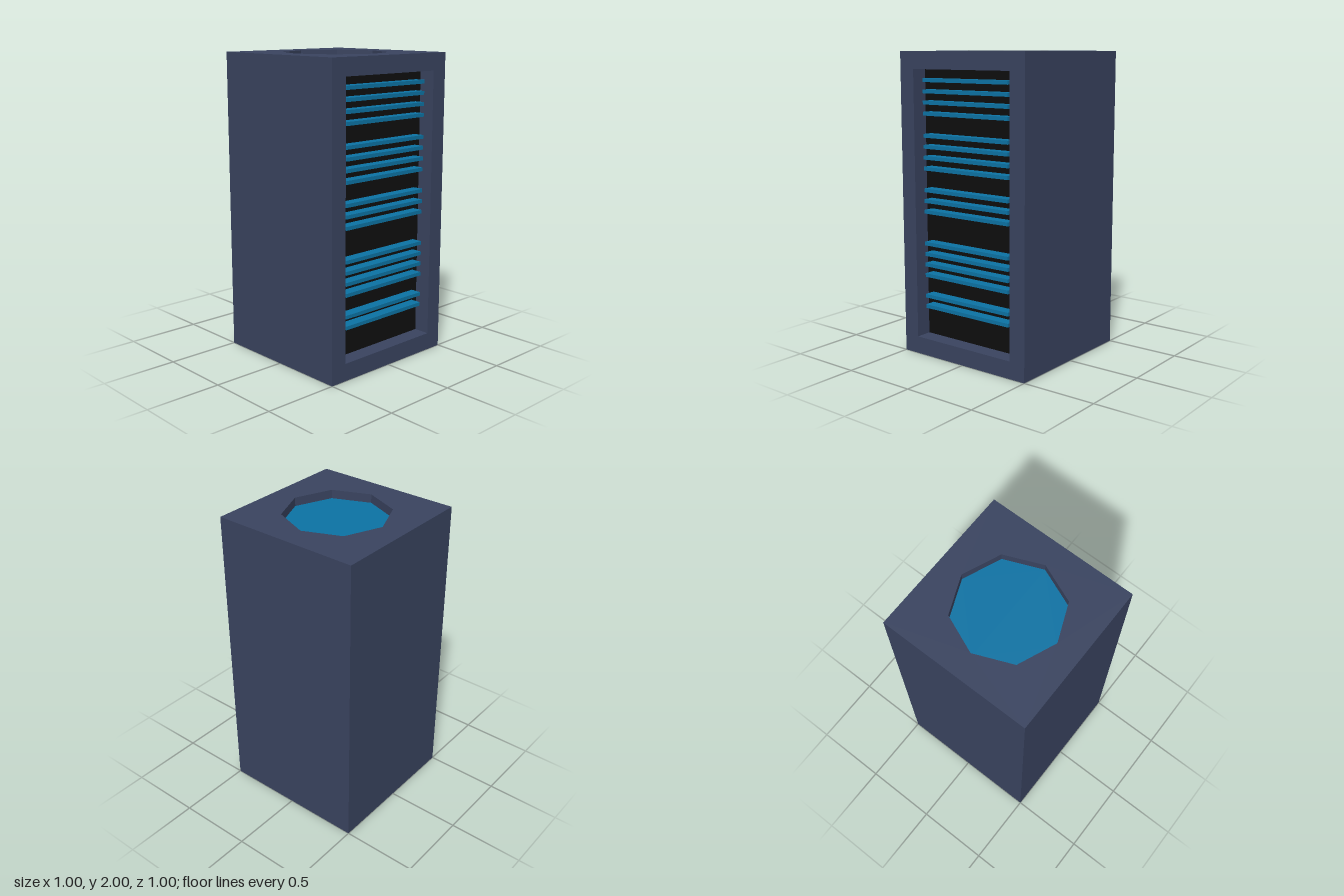
import * as THREE from 'three';

const bodyMat = new THREE.MeshStandardMaterial({ color: 0x39435f });
bodyMat.name = 'slate blue casing';
const panelMat = new THREE.MeshStandardMaterial({ color: 0x0e0e0e });
panelMat.name = 'black panel';
const blueMat = new THREE.MeshStandardMaterial({ color: 0x0c72a3 });
blueMat.name = 'bright blue';

const W = 1, H = 2;

function addMesh(parent, name, geometry, material) {
  const mesh = new THREE.Mesh(geometry, material);
  mesh.name = name;
  parent.add(mesh);
  return mesh;
}

function rectPoints(x, y0, y1) {
  return [[-x, y0], [x, y0], [x, y1], [-x, y1]].map(([a, b]) => new THREE.Vector2(a, b));
}

// Inward-facing walls below a counter-clockwise outline
function recessWalls(points, depth) {
  const pos = [];
  points.forEach((a, i) => {
    const b = points[(i + 1) % points.length];
    pos.push(a.x, a.y, 0, b.x, b.y, 0, b.x, b.y, -depth);
    pos.push(a.x, a.y, 0, b.x, b.y, -depth, a.x, a.y, -depth);
  });
  const geo = new THREE.BufferGeometry();
  geo.setAttribute('position', new THREE.Float32BufferAttribute(pos, 3));
  geo.computeVertexNormals();
  return geo;
}

// Flat face in the XY plane with a sunken, coloured floor
function recessedFace(name, outline, hole, depth, floorMat) {
  const group = new THREE.Group();
  group.name = name;
  const shape = new THREE.Shape(outline);
  shape.holes.push(new THREE.Path(hole));
  addMesh(group, name + 'Rim', new THREE.ShapeGeometry(shape), bodyMat);
  addMesh(group, name + 'Walls', recessWalls(hole, depth), bodyMat);
  const floor = addMesh(group, name + 'Floor', new THREE.ShapeGeometry(new THREE.Shape(hole)), floorMat);
  floor.position.z = -depth;
  return group;
}

export function createModel() {
  const model = new THREE.Group();
  model.name = 'serverCabinet';

  // Plain casing sides and back
  for (const [name, angle] of [['leftSide', 1], ['back', 2], ['rightSide', 3]]) {
    const geo = new THREE.PlaneGeometry(W, H).translate(0, H / 2, W / 2).rotateY(angle * Math.PI / 2);
    addMesh(model, name, geo, bodyMat);
  }
  addMesh(model, 'base', new THREE.PlaneGeometry(W, W).rotateX(Math.PI / 2), bodyMat);

  // Front frame around the sunken black panel
  const depth = 0.11;
  const front = recessedFace('front', rectPoints(W / 2, 0, H), rectPoints(0.388, 0.115, 1.887), depth, panelMat);
  front.position.z = W / 2;
  model.add(front);

  // Top with a sunken eight-sided vent
  const octagon = Array.from({ length: 8 }, (_, i) => {
    const a = i * Math.PI / 4;
    return new THREE.Vector2(0.342 * Math.cos(a), 0.342 * Math.sin(a));
  });
  const top = recessedFace('top', rectPoints(W / 2, -W / 2, W / 2), octagon, 0.057, blueMat);
  top.rotation.x = -Math.PI / 2;
  top.position.y = H;
  model.add(top);

  // Server blades on an even pitch, with some slots left empty
  const blades = new THREE.Group();
  blades.name = 'blades';
  const bladeDepth = 0.073;
  const bladeGeo = new THREE.BoxGeometry(0.688, 0.024, bladeDepth);
  const emptySlots = [4, 9, 13, 14, 19];
  for (let slot = 0; slot < 22; slot++) {
    if (emptySlots.includes(slot)) continue;
    const blade = addMesh(blades, 'blade', bladeGeo, blueMat);
    blade.position.set(0, 1.817 - slot * 0.071, W / 2 - depth + bladeDepth / 2);
  }
  model.add(blades);

  return model;
}
